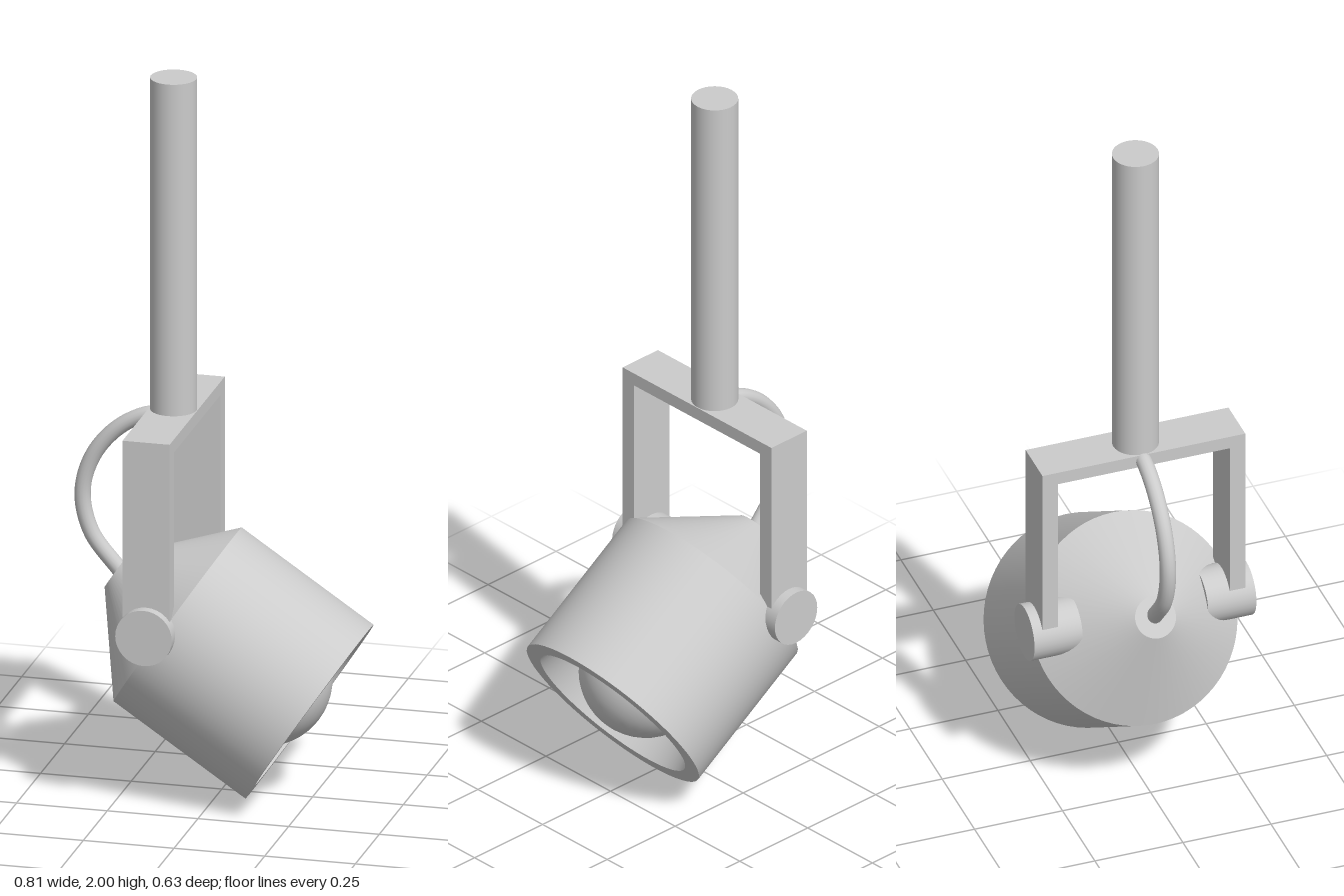
import * as THREE from 'three';
import { mergeGeometries } from 'three/addons/utils/BufferGeometryUtils.js';

const material = new THREE.MeshStandardMaterial({ color: 0xcccccc });
const PIVOT_X = -0.133, PIVOT_Y = 0.522;

function add(parent, name, geometry, x = 0, y = 0, z = 0) {
  const mesh = new THREE.Mesh(geometry, material);
  mesh.name = name;
  mesh.position.set(x, y, z);
  parent.add(mesh);
  return mesh;
}

// Lathe with a sharp edge at every profile point
function sharpLathe(profile, segments = 64) {
  const bands = [];
  for (let i = 0; i < profile.length - 1; i++) {
    const pair = [profile[i], profile[i + 1]].map(([r, y]) => new THREE.Vector2(r, y));
    bands.push(new THREE.LatheGeometry(pair, segments));
  }
  return mergeGeometries(bands);
}

export function createModel() {
  const model = new THREE.Group();
  model.name = 'spotlight';

  // Ceiling pole
  add(model, 'pole', new THREE.CylinderGeometry(0.063, 0.063, 0.935, 32), PIVOT_X, 1.5325, 0);

  // Yoke: an upside-down U extruded along x
  const outer = 0.288, inner = 0.244, top = 1.065, bottom = PIVOT_Y;
  const u = new THREE.Shape([
    [-outer, bottom], [-inner, bottom], [-inner, top - 0.037], [inner, top - 0.037],
    [inner, bottom], [outer, bottom], [outer, top], [-outer, top],
  ].map(([a, b]) => new THREE.Vector2(a, b)));
  const yoke = new THREE.ExtrudeGeometry(u, { depth: 0.13, bevelEnabled: false });
  yoke.translate(0, 0, -0.065).rotateY(Math.PI / 2);
  add(model, 'yoke', yoke, PIVOT_X, 0, 0);

  // Pivot knobs on both sides
  for (const side of [-1, 1]) {
    const knob = new THREE.CylinderGeometry(0.078, 0.078, 0.137, 32).rotateX(Math.PI / 2);
    add(model, side > 0 ? 'frontKnob' : 'backKnob', knob, PIVOT_X, PIVOT_Y, side * 0.2465);
  }

  // Tilted lamp head: local +y points out of the open mouth
  const head = new THREE.Group();
  head.name = 'lampHead';
  head.position.set(-0.122, 0.486, 0);
  head.rotation.z = -THREE.MathUtils.degToRad(123.7);
  model.add(head);

  // Housing: flat tip, cone, barrel, rim and hollow reflector
  add(head, 'housing', sharpLathe([
    [0, -0.2], [0.057, -0.2], [0.288, 0], [0.288, 0.437],
    [0.242, 0.437], [0.19, 0.24], [0, 0.24],
  ]));
  add(head, 'bulb', new THREE.SphereGeometry(0.18, 40, 24), 0, 0.29, 0);

  // Power cord from the yoke to the tip of the housing
  const path = new THREE.CatmullRomCurve3([
    [-0.14, 1.045], [-0.2, 1.045], [-0.285, 1.0], [-0.355, 0.915],
    [-0.384, 0.81], [-0.36, 0.7], [-0.275, 0.59],
  ].map(([x, y]) => new THREE.Vector3(x, y, 0)));
  add(model, 'cord', new THREE.TubeGeometry(path, 48, 0.022, 16));

  return model;
}
